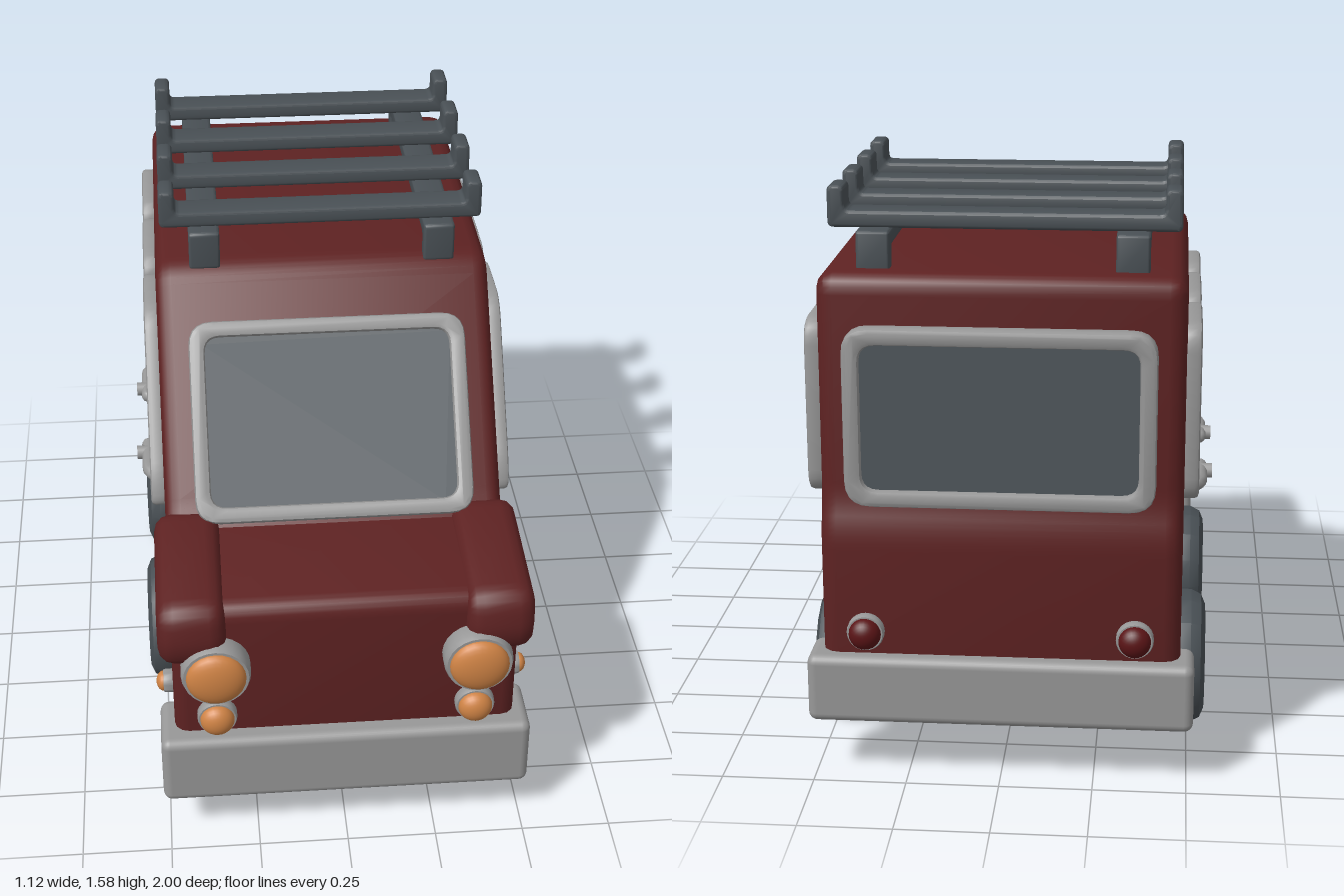
import * as THREE from 'three';
import { toCreasedNormals } from 'three/addons/utils/BufferGeometryUtils.js';
import { RoundedBoxGeometry } from 'three/addons/geometries/RoundedBoxGeometry.js';

const material = (name, color) => {
  const m = new THREE.MeshStandardMaterial({ color });
  m.name = name;
  return m;
};

// Polygon with every corner rounded; radii shrink on short edges.
function roundedPoly(points, radius, Type = THREE.Shape) {
  const v = points.map(([x, y]) => new THREE.Vector2(x, y));
  const n = v.length;
  const path = new Type();
  v.forEach((p, i) => {
    const a = v[(i + n - 1) % n], b = v[(i + 1) % n];
    const r = Math.min(radius, 0.48 * p.distanceTo(a), 0.48 * p.distanceTo(b));
    const start = p.clone().add(a.clone().sub(p).setLength(r));
    const end = p.clone().add(b.clone().sub(p).setLength(r));
    if (i === 0) path.moveTo(start.x, start.y);
    else path.lineTo(start.x, start.y);
    path.quadraticCurveTo(p.x, p.y, end.x, end.y);
  });
  path.closePath();
  return path;
}

// Moves the edges of a convex polygon inward by d.
function inset(points, d) {
  const v = points.map(([x, y]) => new THREE.Vector2(x, y));
  const sign = Math.sign(THREE.ShapeUtils.area(v));
  const n = v.length;
  return v.map((p, i) => {
    const e1 = p.clone().sub(v[(i + n - 1) % n]).normalize();
    const e2 = v[(i + 1) % n].clone().sub(p).normalize();
    const n1 = new THREE.Vector2(-e1.y, e1.x).multiplyScalar(sign);
    const n2 = new THREE.Vector2(-e2.y, e2.x).multiplyScalar(sign);
    const k = d / (1 + n1.dot(n2));
    return [p.x + (n1.x + n2.x) * k, p.y + (n1.y + n2.y) * k];
  });
}

// Extrusion from z = 0 to z = depth whose bevel stays inside the outline.
function bevelled(shape, depth, bevel, segments = 3) {
  const g = new THREE.ExtrudeGeometry(shape, {
    depth: depth - 2 * bevel, bevelEnabled: true, bevelThickness: bevel, bevelSize: bevel,
    bevelOffset: -bevel, bevelSegments: segments, curveSegments: 5,
  });
  g.translate(0, 0, bevel);
  return toCreasedNormals(g, 0.6);
}

// Side outline in (z, y) widened across x.
function sideProfile(points, radius, width, bevel) {
  const g = bevelled(roundedPoly(points, radius), width, bevel);
  g.translate(0, 0, -width / 2);
  g.rotateY(-Math.PI / 2);
  return g;
}

export function createModel() {
  const model = new THREE.Group();
  model.name = 'boxyCar';
  const paint = material('red paint', 0x5e2222);
  const chrome = material('grey trim', 0x989898);
  const dark = material('dark rubber', 0x495055);
  const glass = material('window glass', 0x50575c);
  const amber = material('amber lamp', 0xcf8345);
  const redLamp = material('red lamp', 0x5a1416);

  function add(name, geometry, mat, x = 0, y = 0, z = 0, parent = model) {
    const mesh = new THREE.Mesh(geometry, mat);
    mesh.name = name;
    mesh.position.set(x, y, z);
    parent.add(mesh);
    return mesh;
  }
  const box = (w, h, d, r) => new RoundedBoxGeometry(w, h, d, 3, r);
  function group(name, x, y, z) {
    const g = new THREE.Group();
    g.name = name;
    g.position.set(x, y, z);
    model.add(g);
    return g;
  }

  // Cabin and nose
  add('cabin', sideProfile([[0.58, 0.2], [0.58, 0.79], [0.52, 0.83], [0.09, 1.38], [-0.905, 1.38],
    [-0.91, 0.78], [-0.94, 0.69], [-0.94, 0.2]], 0.055, 0.955, 0.045), paint);
  add('nose', sideProfile([[0.4, 0.2], [0.9, 0.2], [0.905, 0.775], [0.4, 0.81]], 0.05, 0.95, 0.04), paint);

  // Front fenders
  for (const s of [1, -1]) {
    add('fender', sideProfile([[0.5, 0.61], [0.93, 0.61], [0.955, 0.68], [0.935, 0.795], [0.5, 0.838]],
      0.07, 0.185, 0.045), paint, s * 0.418);
  }

  // Bumpers
  add('frontBumper', box(1.03, 0.215, 0.195, 0.025), chrome, 0, 0.2475, 0.857);
  add('rearBumper', box(1.03, 0.19, 0.15, 0.025), chrome, 0, 0.26, -0.905);

  // Windows: a raised frame around a recessed pane, facing local +z
  function windowUnit(name, points, depth, x, y, z) {
    const g = group(name, x, y, z);
    const outline = roundedPoly(points, 0.07);
    outline.holes.push(roundedPoly(inset(points, 0.045), 0.045, THREE.Path));
    add(name + 'Frame', bevelled(outline, depth, 0.012, 2), chrome, 0, 0, 0, g);
    const pane = new THREE.ExtrudeGeometry(roundedPoly(inset(points, 0.035), 0.045),
      { depth: 0.009, bevelEnabled: false, curveSegments: 5 });
    add(name + 'Glass', pane, glass, 0, 0, depth * 0.5, g);
    return g;
  }
  const rect = (w, h) => [[-w, -h], [w, -h], [w, h], [-w, h]];
  const slope = Math.atan2(0.43, 0.55);
  windowUnit('windshield', rect(0.392, 0.285), 0.05, 0, 1.02, 0.368).rotation.x = -slope;
  windowUnit('rearWindow', rect(0.405, 0.24), 0.055, 0, 1.01, -0.9).rotation.y = Math.PI;

  const sideWindows = {
    frontSideWindow: [[0.425, 0.77], [-0.15, 0.77], [-0.15, 1.25], [0.11, 1.25], [0.4, 0.86]],
    middleSideWindow: [[-0.18, 0.77], [-0.51, 0.77], [-0.51, 1.25], [-0.18, 1.25]],
    rearSideWindow: [[-0.54, 0.77], [-0.865, 0.77], [-0.865, 1.25], [-0.54, 1.25]],
  };
  for (const s of [1, -1]) {
    for (const [name, points] of Object.entries(sideWindows)) {
      const local = points.map(([z, y]) => [-s * z, y]);
      windowUnit(name, local, 0.05, s * 0.466, 0, 0).rotation.y = s * Math.PI / 2;
    }
  }

  // Lamps: trim ring and domed lens, facing local +z
  function lamp(name, lens, r, ringDepth, lensDepth, x, y, z, turn = 0) {
    const g = group(name, x, y, z);
    g.rotation.y = turn;
    const c = ringDepth * 0.2;
    const ring = new THREE.LatheGeometry([[r * 0.92, 0], [r, c], [r, ringDepth - c], [r * 0.94, ringDepth], [0, ringDepth]]
      .map(([a, b]) => new THREE.Vector2(a, b)), 24);
    ring.rotateX(Math.PI / 2);
    add(name + 'Ring', toCreasedNormals(ring, 0.6), chrome, 0, 0, 0, g);
    const dome = new THREE.SphereGeometry(1, 24, 8, 0, Math.PI * 2, 0, Math.PI / 2);
    dome.rotateX(Math.PI / 2);
    dome.scale(r * 0.86, r * 0.86, lensDepth);
    add(name + 'Lens', dome, lens, 0, 0, ringDepth, g);
  }
  for (const s of [1, -1]) {
    lamp('headlight', amber, 0.095, 0.085, 0.035, s * 0.357, 0.592, 0.88);
    lamp('turnLamp', amber, 0.055, 0.045, 0.035, s * 0.357, 0.417, 0.885);
    lamp('sideMarker', amber, 0.033, 0.035, 0.02, s * 0.467, 0.43, 0.77, s * Math.PI / 2);
    lamp('tailLamp', redLamp, 0.05, 0.04, 0.035, s * 0.357, 0.42, -0.925, Math.PI);
  }

  // Door handles: round pivot and a grip bar curving back to the door
  for (const s of [1, -1]) {
    for (const [pivot, dir] of [[0.01, 1], [-0.355, -1]]) {
      const g = group('doorHandle', s * 0.47, 0.695, pivot);
      const pin = new THREE.CylinderGeometry(0.021, 0.021, 0.09, 14);
      pin.rotateZ(Math.PI / 2);
      add('handlePivot', pin, chrome, s * 0.045, 0, 0, g);
      const path = new THREE.CatmullRomCurve3([[0.055, -0.04], [0.055, 0.04], [0.048, 0.11], [0, 0.145]]
        .map(([x, z]) => new THREE.Vector3(s * x, 0, dir * z)));
      add('handleGrip', new THREE.TubeGeometry(path, 12, 0.021, 10), chrome, 0, 0, 0, g);
      const cap = new THREE.SphereGeometry(0.021, 10, 8);
      add('handleTip', cap, chrome, s * 0.055, 0, -dir * 0.04, g);
    }
  }

  // Wheels with a shallow hub recess
  const wheelProfile = [[0, -0.07], [0.15, -0.07], [0.178, -0.058], [0.192, -0.03], [0.192, 0.03], [0.178, 0.058],
    [0.15, 0.07], [0.098, 0.07], [0.09, 0.05], [0.08, 0.06], [0, 0.06]].map(([r, h]) => new THREE.Vector2(r, h));
  const wheel = toCreasedNormals(new THREE.LatheGeometry(wheelProfile, 14), 0.55);
  for (const s of [1, -1]) {
    for (const z of [0.18, -0.525]) {
      add('wheel', wheel, dark, s * 0.478, 0.192, z).rotation.z = -s * Math.PI / 2;
    }
  }

  // Roof rack: footed rails carrying crossbars with upturned ends
  const rail = sideProfile([[0.09, 1.36], [0.09, 1.477], [-0.83, 1.477], [-0.83, 1.36], [-0.785, 1.36],
    [-0.785, 1.432], [0.045, 1.432], [0.045, 1.36]], 0.014, 0.088, 0.008);
  for (const s of [1, -1]) add('rackRail', rail, dark, s * 0.335);
  const bar = bevelled(roundedPoly([[-0.46, 1.475], [0.46, 1.475], [0.46, 1.585], [0.415, 1.585],
    [0.415, 1.52], [-0.415, 1.52], [-0.415, 1.585], [-0.46, 1.585]], 0.016), 0.092, 0.009);
  for (const z of [0, -0.245, -0.49, -0.733]) add('rackCrossbar', bar, dark, 0, 0, z - 0.046);

  return model;
}
